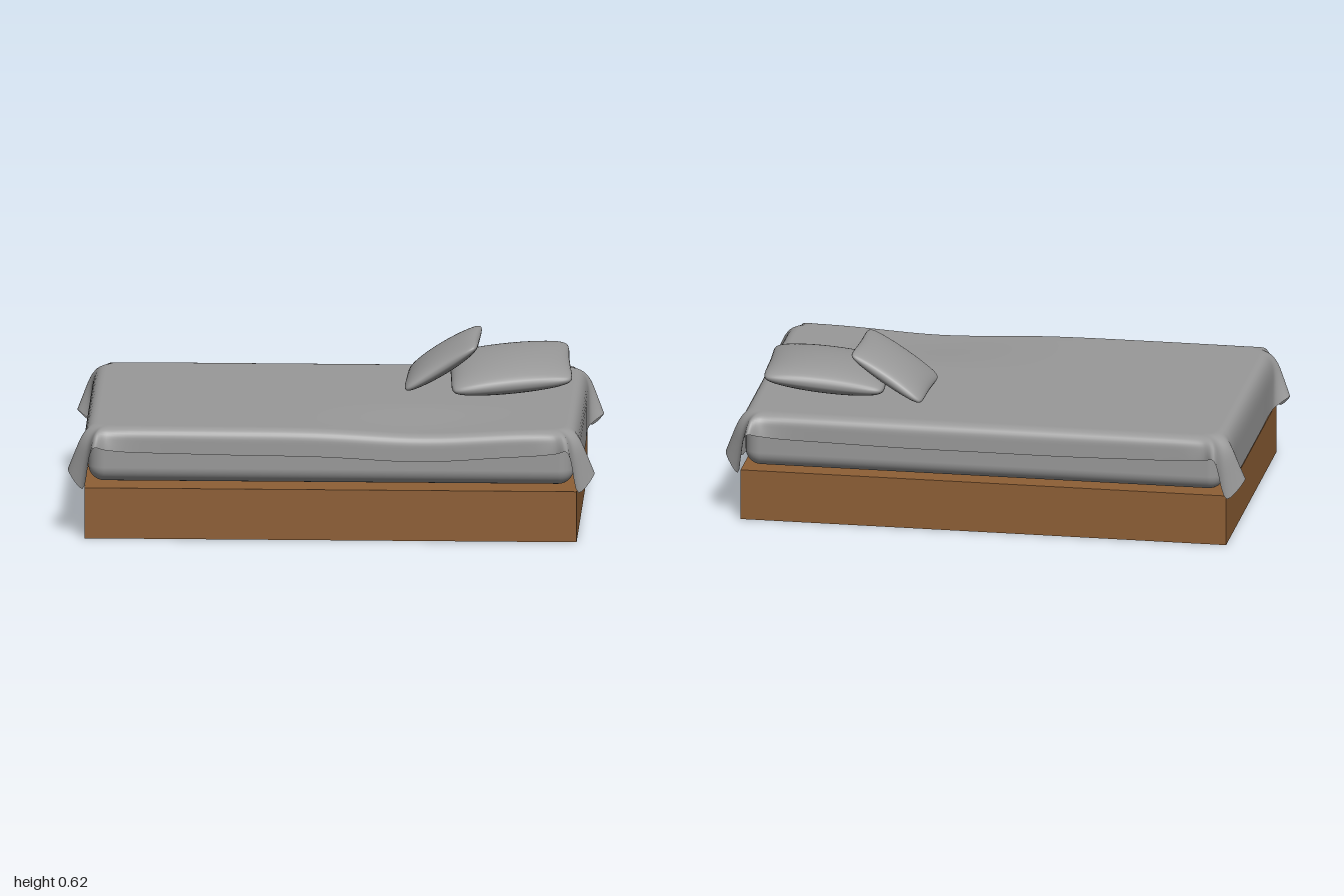
import * as THREE from 'three';
import { mergeGeometries, mergeVertices } from 'three/addons/utils/BufferGeometryUtils.js';
import { RoundedBoxGeometry } from 'three/addons/geometries/RoundedBoxGeometry.js';

const wood = new THREE.MeshStandardMaterial({ color: 0x8e5f35 });
wood.name = 'wood';
const linen = new THREE.MeshStandardMaterial({ color: 0x999999, side: THREE.DoubleSide });
linen.name = 'greyLinen';

const TOP = 0.425;

// Soft hollow near the front edge of the bed
function sag(x, z) {
  return 0.02 * Math.exp(-(((x - 0.35) / 0.3) ** 2)) * THREE.MathUtils.smoothstep(z, 0.1, 0.5);
}

// One quarter of the sheet outline: shoulder x, z, then hem x, y, z
const quarter = [
  [0, 0.578, 0, 0.325, 0.58],
  [0.3, 0.578, 0.3, 0.325, 0.58],
  [0.6, 0.578, 0.6, 0.33, 0.58],
  [0.76, 0.576, 0.78, 0.335, 0.583],
  [0.84, 0.572, 0.85, 0.345, 0.597],
  [0.88, 0.565, 0.895, 0.36, 0.64], // ear over the long side
  [0.912, 0.555, 0.935, 0.19, 0.575], // hanging corner
  [0.925, 0.525, 0.993, 0.25, 0.5], // ear over the short side
  [0.932, 0.48, 0.945, 0.22, 0.455],
  [0.934, 0.4, 0.936, 0.215, 0.4],
  [0.934, 0.2, 0.936, 0.215, 0.2],
  [0.934, 0, 0.936, 0.215, 0],
];

function sheetGeometry() {
  const stations = [];
  for (const [sx, sz] of [[1, 1], [1, -1], [-1, -1], [-1, 1]]) {
    const q = quarter.map(([a, b, x, y, z]) => [a * sx, b * sz, x * sx, y, z * sz]);
    if (sx * sz < 0) q.reverse();
    stations.push(...q.slice(0, -1));
  }
  const shoulder = new THREE.CatmullRomCurve3(stations.map(s => new THREE.Vector3(s[0], TOP, s[1])), true);
  const hem = new THREE.CatmullRomCurve3(stations.map(s => new THREE.Vector3(s[2], s[3], s[4])), true);

  const N = stations.length * 5, flat = 12, drop = 14, rings = flat + drop;
  const pos = [], index = [];
  for (let r = 0; r <= rings; r++) {
    for (let j = 0; j < N; j++) {
      const S = shoulder.getPoint(j / N), H = hem.getPoint(j / N);
      const T = new THREE.Vector3(S.x * 0.945, TOP, S.z * 0.91);
      const p = new THREE.Vector3();
      if (r <= flat) {
        p.set(T.x * r / flat, TOP, T.z * r / flat);
      } else {
        // Rounded shoulder, then a straight fall to the hem
        const M = S.clone().lerp(H, 0.45);
        const t = (r - flat) / drop;
        if (t < 0.6) new THREE.QuadraticBezierCurve3(T, S, M).getPoint(t / 0.6, p);
        else p.lerpVectors(M, H, (t - 0.6) / 0.4);
      }
      pos.push(p.x - 0.005, p.y - sag(p.x, p.z), p.z - 0.003);
      if (r < rings) {
        const k = (j + 1) % N, a = r * N + j, b = a + N, c = (r + 1) * N + k, d = r * N + k;
        index.push(a, b, c, a, c, d);
      }
    }
  }
  const g = new THREE.BufferGeometry();
  g.setAttribute('position', new THREE.Float32BufferAttribute(pos, 3));
  g.setIndex(index);
  g.computeVertexNormals();
  return g;
}

// Stuffed cushion: two bulged grids joined along a seam
function pillowGeometry(a, b, h) {
  const halves = [-1, 1].map(side => {
    const g = new THREE.PlaneGeometry(2, 2, 28, 28).rotateX(-Math.PI / 2);
    if (side < 0) g.rotateX(Math.PI);
    const p = g.attributes.position;
    for (let i = 0; i < p.count; i++) {
      const u = Math.sin(p.getX(i) * Math.PI / 2), v = Math.sin(p.getZ(i) * Math.PI / 2);
      const round = 1 - 0.08 * (u * v) ** 6;
      const bulge = Math.max(0, (1 - u * u) * (1 - v * v)) ** 0.42;
      p.setXYZ(i,
        a * u * round * (1 - 0.04 * (1 - v * v)),
        side * h * bulge,
        b * v * round * (1 - 0.04 * (1 - u * u)));
    }
    g.deleteAttribute('uv');
    g.deleteAttribute('normal');
    return g;
  });
  const g = mergeVertices(mergeGeometries(halves), 1e-4);
  g.computeVertexNormals();
  return g;
}

export function createModel() {
  const model = new THREE.Group();
  model.name = 'bed';
  const add = (name, geometry, material, position, rotation = [0, 0, 0]) => {
    const mesh = new THREE.Mesh(geometry, material);
    mesh.name = name;
    mesh.position.set(...position);
    mesh.rotation.set(...rotation);
    model.add(mesh);
  };

  add('base', new THREE.BoxGeometry(1.855, 0.195, 1.13), wood, [-0.005, 0.0975, 0.01]);
  add('mattress', new RoundedBoxGeometry(1.83, 0.19, 1.13, 5, 0.06), linen, [-0.005, 0.305, -0.003]);
  add('sheet', sheetGeometry(), linen, [0, 0, 0]);
  add('largePillow', pillowGeometry(0.235, 0.25, 0.064), linen, [0.645, 0.492, -0.2], [0.07, 0.07, 0.09]);
  add('smallPillow', pillowGeometry(0.165, 0.182, 0.045), linen, [0.392, 0.525, -0.215], [0.02, -0.03, 0.57]);
  return model;
}
